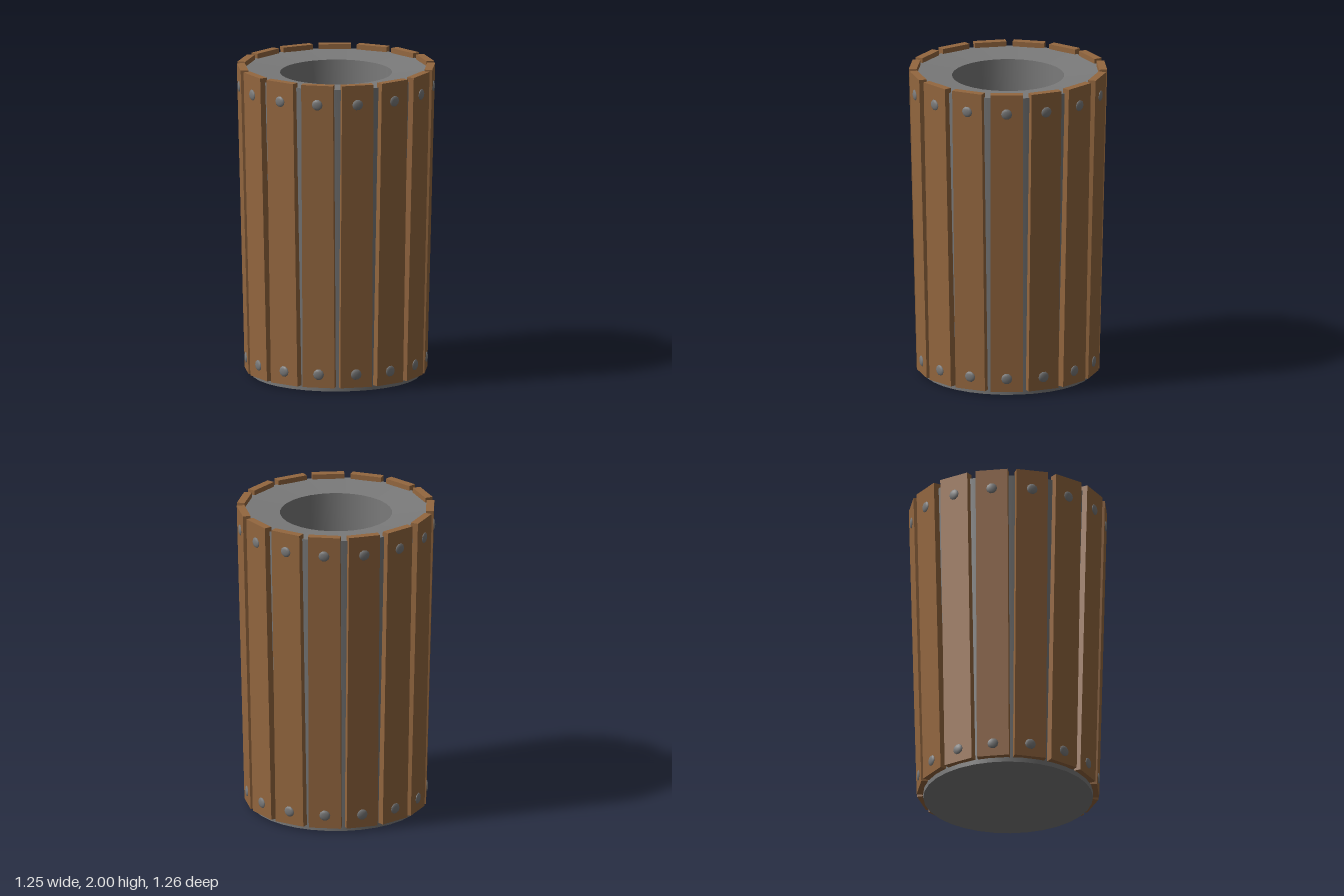
import * as THREE from 'three';
import { toCreasedNormals } from 'three/addons/utils/BufferGeometryUtils.js';

const SLATS = 15;
const BOTTOM_Y = 0.03, TOP_Y = 2;
const BOTTOM_R = 0.57, TOP_R = 0.62; // outer faces of the slats
const LEAN = (TOP_R - BOTTOM_R) / (TOP_Y - BOTTOM_Y);

// Radius of the slats' outer face at a given height
const faceRadius = (y) => BOTTOM_R + (y - BOTTOM_Y) * LEAN;

export function createModel() {
  const model = new THREE.Group();
  model.name = 'slattedBin';

  const metal = new THREE.MeshStandardMaterial({ color: 0x7a7a7a });
  metal.name = 'grey metal';
  const wood = new THREE.MeshStandardMaterial({ color: 0x94673f });
  wood.name = 'brown wood';

  // Tapered body with a rim around a deep round opening
  const profile = [
    [0, 0], [0.537, 0], [0.595, 1.97], [0.355, 1.95], [0.325, 0.1], [0, 0.1],
  ].map(([r, y]) => new THREE.Vector2(r, y));
  const bodyGeometry = toCreasedNormals(new THREE.LatheGeometry(profile, 32), 0.6);
  const body = new THREE.Mesh(bodyGeometry, metal);
  body.name = 'body';
  model.add(body);

  // Plank sheared outward so that its ends stay level
  const slatGeometry = new THREE.BoxGeometry(0.205, TOP_Y - BOTTOM_Y, 0.05);
  slatGeometry.translate(0, (TOP_Y + BOTTOM_Y) / 2, -0.025);
  const p = slatGeometry.attributes.position;
  for (let i = 0; i < p.count; i++) p.setZ(i, p.getZ(i) + faceRadius(p.getY(i)));
  slatGeometry.computeVertexNormals();

  // Low domed bolt head facing +z
  const boltGeometry = new THREE.SphereGeometry(0.036, 10, 3, 0, Math.PI * 2, 0, Math.PI / 2);
  boltGeometry.rotateX(Math.PI / 2);
  boltGeometry.scale(1, 1, 0.33);

  // Ring of slats, one of them centred at the back
  for (let i = 0; i < SLATS; i++) {
    const panel = new THREE.Group();
    panel.name = `slatPanel${i + 1}`;
    panel.rotation.y = Math.PI + (i / SLATS) * Math.PI * 2;

    const slat = new THREE.Mesh(slatGeometry, wood);
    slat.name = 'slat';
    panel.add(slat);

    for (const [name, y] of [['lowerBolt', 0.115], ['upperBolt', 1.873]]) {
      const bolt = new THREE.Mesh(boltGeometry, metal);
      bolt.name = name;
      bolt.position.set(0, y, faceRadius(y) - 0.001);
      bolt.rotation.x = Math.atan(LEAN);
      panel.add(bolt);
    }
    model.add(panel);
  }
  return model;
}
